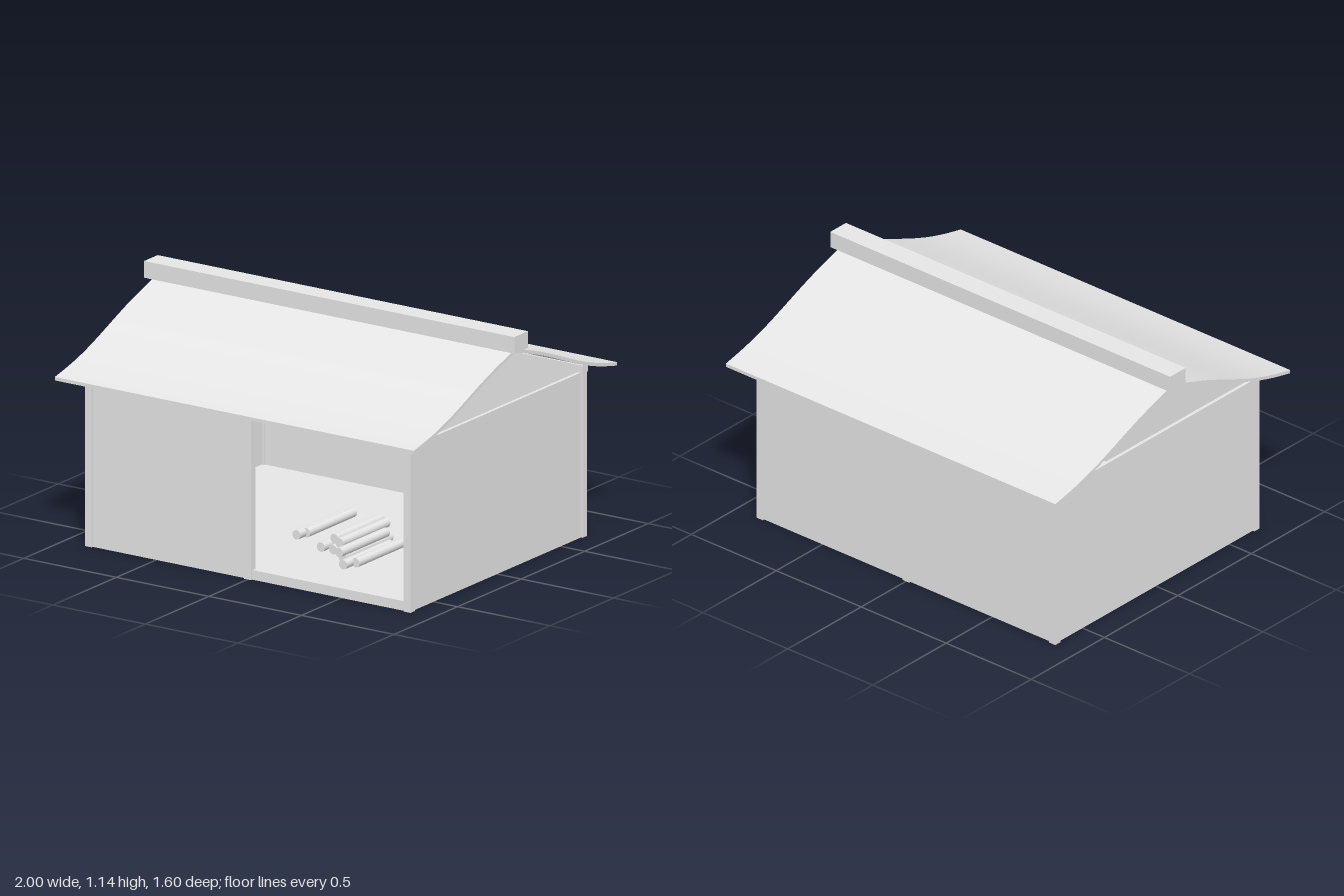
import * as THREE from 'three';
import { toCreasedNormals } from 'three/addons/utils/BufferGeometryUtils.js';

export function createModel() {
  const model = new THREE.Group();
  model.name = 'woodShed';
  const grey = new THREE.MeshStandardMaterial({ color: 0xe6e6e6, side: THREE.DoubleSide });
  grey.name = 'plainGrey';

  function add(name, geometry, x = 0, y = 0, z = 0) {
    const mesh = new THREE.Mesh(geometry, grey);
    mesh.name = name;
    mesh.position.set(x, y, z);
    model.add(mesh);
    return mesh;
  }
  // box given by its limits on each axis
  function box(name, x0, x1, y0, y1, z0, z1) {
    return add(name, new THREE.BoxGeometry(x1 - x0, y1 - y0, z1 - z0),
      (x0 + x1) / 2, (y0 + y1) / 2, (z0 + z1) / 2);
  }

  // posts, top beams and panels along the front and back
  for (const s of [-1, 1]) {
    const z = s * 0.678;
    const side = s > 0 ? 'front' : 'back';
    for (const x of [-0.861, 0, 0.861]) {
      box(side + 'Post', x - 0.0185, x + 0.0185, 0, 0.775, z - 0.0175, z + 0.0175);
    }
    box(side + 'Beam', -0.88, 0.88, 0.767, 0.805, z - 0.022, z + 0.022);
    box(side + 'RightPanel', -0.843, -0.018, 0, 0.767, z - 0.008, z + 0.008);
  }
  box('backLeftPanel', 0.018, 0.843, 0, 0.767, -0.686, -0.67);
  box('frontSill', 0.018, 0.843, 0, 0.045, 0.67, 0.686);

  // end walls, open to the gables above
  for (const s of [-1, 1]) {
    const x = s * 0.8625;
    box(s > 0 ? 'leftWall' : 'rightWall', x - 0.008, x + 0.008, 0, 0.77, -0.661, 0.661);
  }

  // floor just above the ground, with one corner broken away
  const floorShape = new THREE.Shape([
    [-0.86, 0.67], [0.86, 0.67], [0.86, -0.67], [-0.43, -0.67], [-0.43, -0.33], [-0.86, 0],
  ].map(([x, y]) => new THREE.Vector2(x, y)));
  add('floor', new THREE.ShapeGeometry(floorShape), 0, 0.034, 0).rotation.x = -Math.PI / 2;

  // gently S-curved roof slopes: a profile extruded along x
  const top = [];
  for (let i = 0; i <= 16; i++) {
    const t = i / 16;
    const bend = 0.01 * Math.sin(2 * Math.PI * t) - 0.04 * t * (1 - t);
    top.push(new THREE.Vector2(0.8 * t, 1.068 - 0.268 * t + bend));
  }
  const lower = top.map((p) => new THREE.Vector2(p.x, p.y - 0.016)).reverse();
  for (const s of [-1, 1]) {
    const outline = [...top, ...lower].map((p) => new THREE.Vector2(-s * p.x, p.y));
    const slope = new THREE.ExtrudeGeometry(new THREE.Shape(outline),
      { depth: 1.94, bevelEnabled: false });
    slope.translate(0, 0, -0.97);
    slope.rotateY(Math.PI / 2);
    add(s > 0 ? 'frontRoof' : 'backRoof', toCreasedNormals(slope, 0.5));
  }
  box('ridgeBeam', -1, 1, 1.065, 1.143, -0.0535, 0.0535);

  // loose logs: x, y, front end z
  const logs = [
    [0.26, 0.253, 0.69], [0.277, 0.253, 0.64], [0.43, 0.253, 0.64], [0.485, 0.253, 0.68],
    [0.565, 0.253, 0.8], [0.357, 0.2, 0.64], [0.422, 0.2, 0.64], [0.522, 0.2, 0.71],
    [0.587, 0.2, 0.8], [0.617, 0.2, 0.745],
  ];
  const logGeometry = new THREE.CylinderGeometry(0.022, 0.022, 0.37, 16).rotateX(Math.PI / 2);
  for (const [x, y, z] of logs) add('log', logGeometry, x, y, z - 0.185);

  return model;
}
